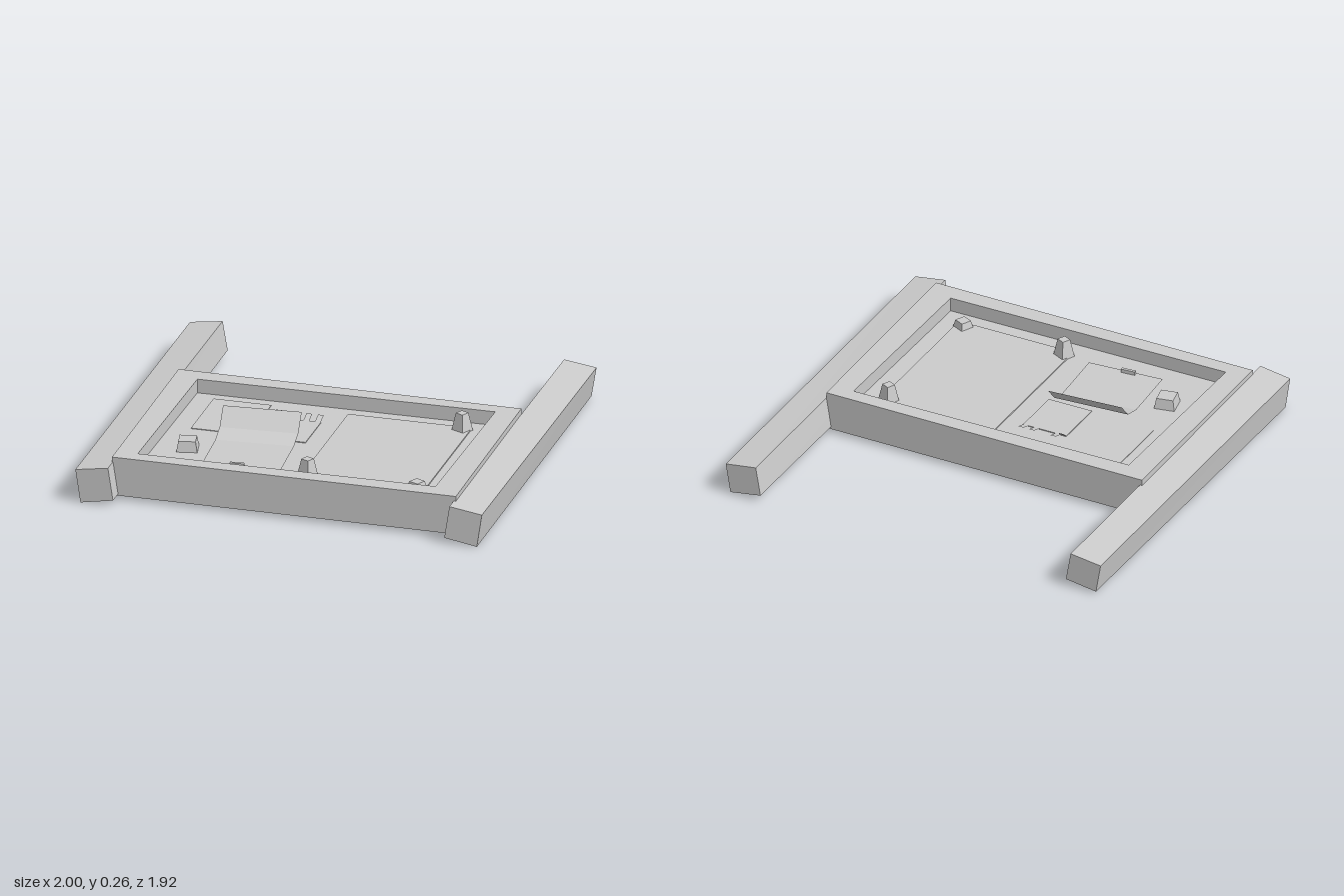
import * as THREE from 'three';

const FLOOR = 0.143;

export function createModel() {
  const model = new THREE.Group();
  const material = new THREE.MeshStandardMaterial({ color: 0xcccccc, flatShading: true });
  const sheetMaterial = new THREE.MeshStandardMaterial({
    color: 0xcccccc, flatShading: true, side: THREE.DoubleSide,
  });

  const add = (name, geometry, mat = material) => {
    const mesh = new THREE.Mesh(geometry, mat);
    mesh.name = name;
    model.add(mesh);
    return mesh;
  };
  const points = (list) => list.map(([x, z]) => new THREE.Vector2(x, -z));

  // Plan outline (x, z) raised from y = bottom to y = top
  const slab = (outline, bottom, top, hole) => {
    const shape = new THREE.Shape(points(outline));
    if (hole) shape.holes.push(new THREE.Path(points(hole)));
    return new THREE.ExtrudeGeometry(shape, { depth: top - bottom, bevelEnabled: false })
      .rotateX(-Math.PI / 2).translate(0, bottom, 0);
  };

  // Tray: solid base and raised rim, both slightly out of square
  const outer = [[-0.845, 0.875], [0.85, 0.885], [0.84, -0.245], [-0.85, -0.257]];
  const inner = [[-0.74, 0.8], [0.723, 0.792], [0.733, -0.172], [-0.73, -0.163]];
  add('trayBase', slab(outer, 0.02, FLOOR));
  add('trayRim', slab(outer, FLOOR, 0.213, inner));

  // Side beams: leaning square timbers, a little thinner at the back
  const section = [[0.84, 0.19], [0.815, 0.028], [0.975, 0], [1, 0.165]];
  for (const [name, side] of [['leftBeam', 1], ['rightBeam', -1]]) {
    const shape = new THREE.Shape(section.map(([x, y]) => new THREE.Vector2(side * x, y)));
    const geometry = new THREE.ExtrudeGeometry(shape, { depth: 1.92, bevelEnabled: false })
      .translate(0, 0, -0.96);
    const p = geometry.attributes.position;
    for (let i = 0; i < p.count; i++) {
      if (p.getZ(i) < 0) p.setY(i, 0.095 + (p.getY(i) - 0.095) * 0.9);
    }
    geometry.computeVertexNormals();
    add(name, geometry);
  }

  // Flat sheets lying on the tray floor
  const rect = (x0, x1, z0, z1) => [[x0, z1], [x1, z1], [x1, z0], [x0, z0]];
  add('largeSheet', slab(rect(0.03, 0.64, -0.1, 0.72), FLOOR, FLOOR + 0.006));
  add('smallSheet', slab(rect(-0.635, -0.35, -0.11, 0.27), FLOOR, FLOOR + 0.003));
  add('tornSheet', slab(rect(-0.295, -0.065, 0.03, 0.29), FLOOR, FLOOR + 0.004));

  // Strip of paper swept across its width through (z, y) steps
  const strip = (width, steps) => {
    const geometry = new THREE.PlaneGeometry(width, 1, 1, steps.length - 1);
    const p = geometry.attributes.position;
    for (let i = 0; i < p.count; i++) {
      const [z, y] = steps[Math.floor(i / 2)];
      p.setXYZ(i, p.getX(i), y, z);
    }
    geometry.computeVertexNormals();
    return geometry;
  };

  // Torn tabs bent upwards along the back of the torn sheet
  for (const [x, back, rise] of [[-0.28, 0, 0.03], [-0.252, -0.022, 0.02],
    [-0.137, -0.02, 0.02], [-0.08, -0.02, 0.02]]) {
    const tab = add('tornTab', strip(0.028, [[back, FLOOR + rise], [0.03, FLOOR + 0.004]]), sheetMaterial);
    tab.position.x = x;
  }

  // Curled note with its back edge lifted, and the clip on its front edge
  const note = new THREE.Group();
  note.name = 'curledNote';
  const paper = add('notePaper', strip(0.38, [[-0.24, 0.258], [-0.165, 0.178],
    [-0.07, FLOOR + 0.008], [0.24, FLOOR + 0.006]]), sheetMaterial);
  const clip = add('noteClip', new THREE.BoxGeometry(0.07, 0.025, 0.015));
  clip.position.set(-0.02, FLOOR + 0.012, 0.225);
  note.add(paper, clip);
  note.position.set(-0.285, 0, 0.445);
  note.rotation.y = 0.07;
  model.add(note);

  // Tapered square pegs: x, z, height, base width, top width, turn
  const pegs = [
    [0.6, -0.07, 0.09, 0.072, 0.042, -0.45],
    [0.06, 0.68, 0.09, 0.072, 0.042, -0.45],
    [0.6, 0.685, 0.04, 0.07, 0.052, -0.45],
    [-0.58, 0.51, 0.052, 0.1, 0.082, 0.2],
  ];
  for (const [x, z, height, base, top, turn] of pegs) {
    const geometry = new THREE.CylinderGeometry(top * Math.SQRT1_2, base * Math.SQRT1_2, height, 4)
      .rotateY(Math.PI / 4);
    const peg = add('peg', geometry);
    peg.position.set(x, FLOOR + height / 2, z);
    peg.rotation.y = turn;
  }

  return model;
}
